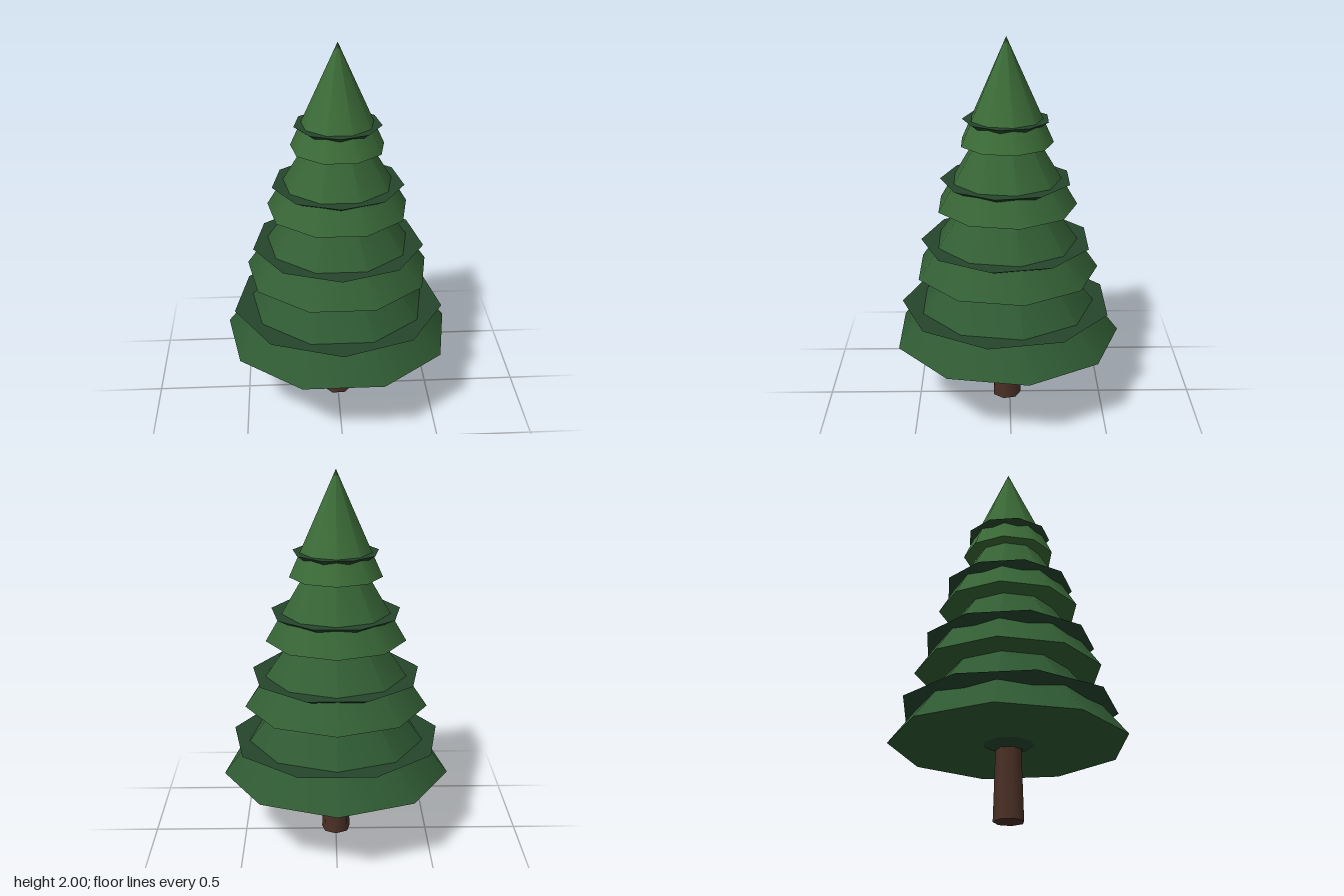
import * as THREE from 'three';

const CENTRE_Z = 0.018;

function addPart(group, name, geometry, color, y) {
  const mesh = new THREE.Mesh(geometry, new THREE.MeshStandardMaterial({ color }));
  mesh.name = name;
  mesh.position.set(0, y, CENTRE_Z);
  group.add(mesh);
}

export function createModel() {
  const tree = new THREE.Group();
  tree.name = 'pineTree';

  // Tapered seven-sided trunk, running up into the foliage
  const trunkHeight = 0.5;
  addPart(tree, 'trunk',
    new THREE.CylinderGeometry(0.063, 0.079, trunkHeight, 7, 1, false, Math.PI),
    0x4a3026, trunkHeight / 2);

  // Foliage tiers, bottom to top: base height, radius, cone height, colour
  const tiers = [
    [0.39, 0.608, 0.78, 0x2f5a33],
    [0.768, 0.487, 0.70, 0x335f34],
    [1.125, 0.37, 0.62, 0x376536],
    [1.46, 0.243, 0.54, 0x3c6c38],
  ];
  tiers.forEach(([base, radius, height, color], i) => {
    addPart(tree, `foliageTier${i + 1}`,
      new THREE.ConeGeometry(radius, height, 9, 1, false, Math.PI),
      color, base + height / 2);

    // Shallow inverted cone that forms a dark ledge around the tier
    const ledgeHeight = height * 0.3;
    const ledge = new THREE.ConeGeometry(radius * 0.925, ledgeHeight, 9, 1, false, Math.PI);
    ledge.rotateX(Math.PI);
    addPart(tree, `foliageLedge${i + 1}`, ledge, 0x25452c,
      base + height * 0.23 - ledgeHeight / 2);
  });

  return tree;
}
